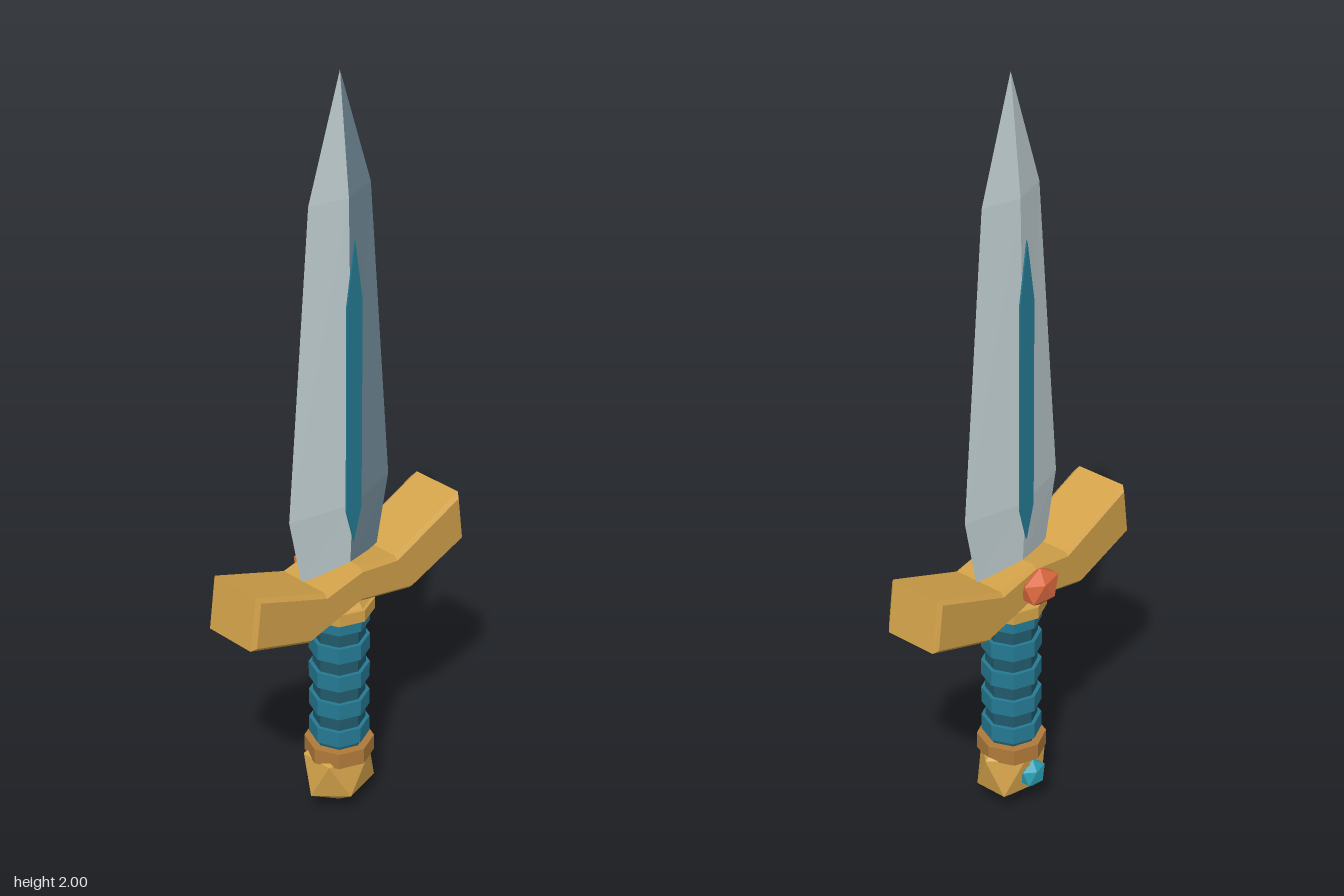
import * as THREE from 'three';

const AXIS_Z = 0.018; // the blade and grip axis sits slightly forward of centre

const mat = (name, color, extra = {}) => {
  const m = new THREE.MeshStandardMaterial({ color, flatShading: true, ...extra });
  m.name = name;
  return m;
};

export function createModel() {
  const gold = mat('gold', 0xd3a24a);
  const bronze = mat('bronze', 0xb07a3a);
  const steel = mat('light steel', 0xc0ced1);
  const darkSteel = mat('dark steel', 0x748e9b);
  const teal = mat('teal', 0x257a93);
  const darkTeal = mat('dark teal', 0x215a6b);
  const orange = mat('orange gem', 0xd9693f);
  const aqua = mat('aqua gem', 0x2ba0b4);

  const dagger = new THREE.Group();
  dagger.name = 'dagger';
  const add = (name, geometry, material, y = 0, z = AXIS_Z) => {
    const mesh = new THREE.Mesh(geometry, material);
    mesh.name = name;
    mesh.position.set(0, y, z);
    dagger.add(mesh);
    return mesh;
  };

  // Blade: diamond cross-sections [y, half width, half depth], one bevel in dark steel
  const sections = [[0.718, 0.13, 0.037], [0.9, 0.168, 0.045], [1.7, 0.1, 0.029], [2.0, 0, 0]];
  const corner = ([y, w, d], i) => [[w, y, 0], [0, y, d], [-w, y, 0], [0, y, -d]][i % 4];
  const positions = [];
  const blade = new THREE.BufferGeometry();
  for (let side = 0; side < 4; side++) {
    const start = positions.length / 3;
    for (let s = 0; s < 3; s++) {
      const a = corner(sections[s], side), b = corner(sections[s], side + 1);
      const c = corner(sections[s + 1], side + 1), d = corner(sections[s + 1], side);
      positions.push(...a, ...d, ...b);
      if (s < 2) positions.push(...b, ...d, ...c);
    }
    blade.addGroup(start, positions.length / 3 - start, side === 0 ? 1 : 0);
  }
  const base = [0, 1, 2, 3].map((i) => corner(sections[0], i));
  blade.addGroup(positions.length / 3, 6, 0);
  positions.push(...base[0], ...base[1], ...base[2], ...base[0], ...base[2], ...base[3]);
  blade.setAttribute('position', new THREE.Float32BufferAttribute(positions, 3));
  blade.computeVertexNormals();
  add('blade', blade, [steel, darkSteel]);

  // Thin inlay strip on each blade face
  const strip = new THREE.Shape([
    [0, 0.8], [0.025, 0.89], [0.025, 1.44], [0, 1.6], [-0.025, 1.44], [-0.025, 0.89],
  ].map(([x, y]) => new THREE.Vector2(x, y)));
  const stripGeo = new THREE.ExtrudeGeometry(strip, { depth: 0.004, bevelEnabled: false });
  stripGeo.translate(0, 0, -0.002);
  for (const s of [1, -1]) {
    add(s > 0 ? 'frontInlay' : 'backInlay', stripGeo, teal, 0, AXIS_Z + s * 0.048);
  }

  // Crossguard: swept outline with chamfered edges
  const half = [[0.175, 0.597], [0.365, 0.662], [0.345, 0.802], [0.12, 0.714]];
  const outline = [
    [0, 0.637], ...half, [0, 0.735],
    ...half.slice().reverse().map(([x, y]) => [-x, y]),
  ].map(([x, y]) => new THREE.Vector2(x, y));
  const guard = new THREE.ExtrudeGeometry(new THREE.Shape(outline), {
    depth: 0.14, bevelEnabled: true, bevelThickness: 0.0105, bevelSize: 0.0105,
    bevelOffset: -0.0105, bevelSegments: 1,
  });
  guard.translate(0, 0, -0.07);
  add('crossguard', guard, gold);

  // Grip: dark core with raised wraps, between two collars
  const ring = (top, bottom, height) => new THREE.CylinderGeometry(top, bottom, height, 8);
  add('gripCore', ring(0.066, 0.066, 0.42), darkTeal, 0.39);
  for (let i = 0; i < 5; i++) {
    add('gripWrap', ring(0.076, 0.076, 0.044), teal, 0.238 + i * 0.0835);
  }
  add('upperCollar', ring(0.088, 0.088, 0.032), gold, 0.601);
  add('neck', ring(0.058, 0.08, 0.03), gold, 0.632);
  add('lowerCollar', ring(0.088, 0.088, 0.044), bronze, 0.18);

  // Icosahedron standing on one vertex, for the pommel and gems
  const facet = (rx, ry, rz) => new THREE.IcosahedronGeometry(1, 0)
    .rotateZ(-Math.atan(2 / (1 + Math.sqrt(5)))).scale(rx, ry, rz);
  add('pommel', facet(0.112, 0.112, 0.086), gold, 0.112);
  add('guardGem', facet(0.064, 0.053, 0.038), orange, 0.68, -0.074);
  add('pommelGem', facet(0.042, 0.042, 0.028), aqua, 0.105, -0.053);

  return dagger;
}
